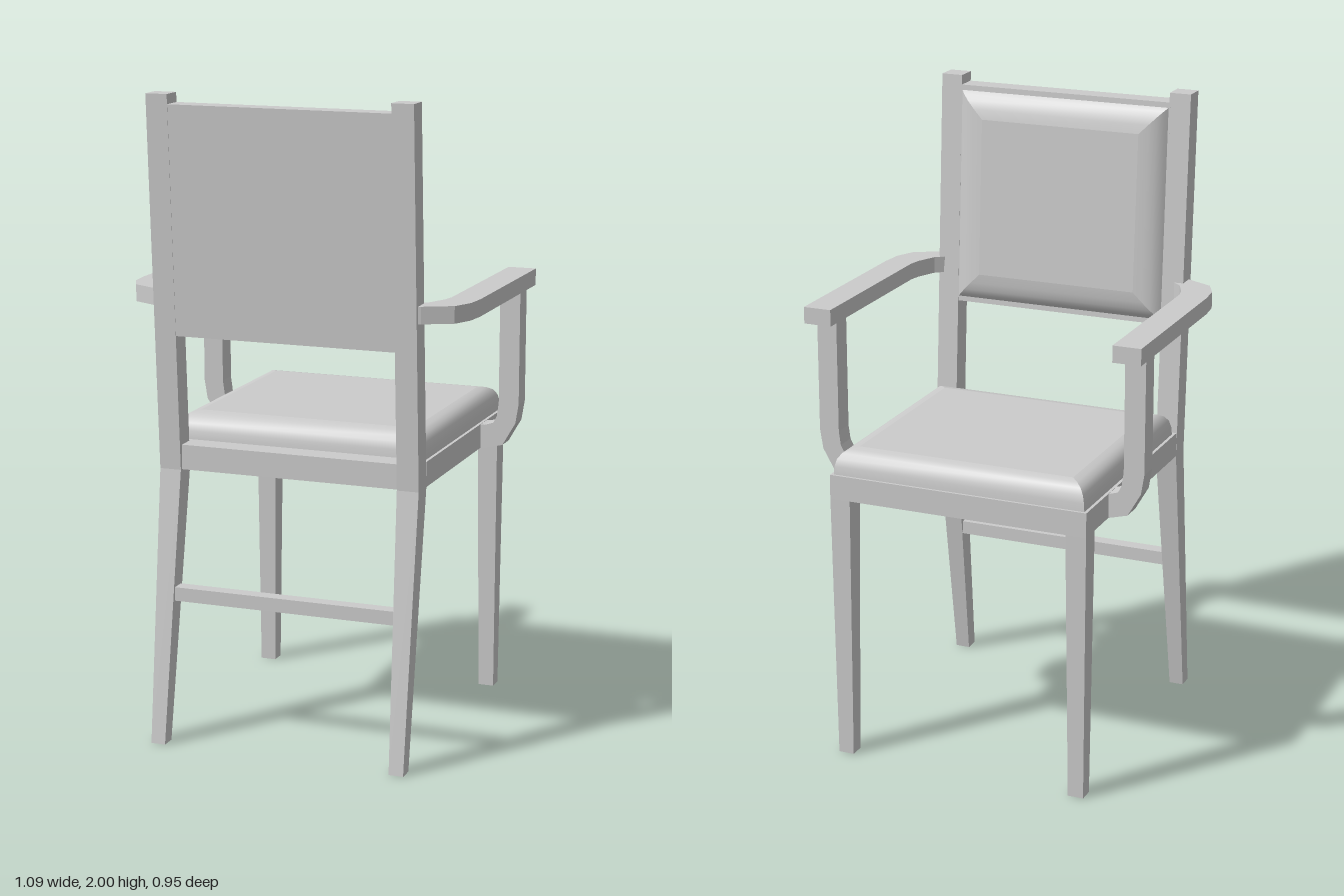
import * as THREE from 'three';

const grey = new THREE.MeshStandardMaterial({ color: 0xcccccc });
const flat = new THREE.MeshStandardMaterial({ color: 0xcccccc, flatShading: true });

function add(group, name, geometry, material = flat) {
  const mesh = new THREE.Mesh(geometry, material);
  mesh.name = name;
  group.add(mesh);
  return mesh;
}

// Box between two corners
function block(x0, x1, y0, y1, z0, z1) {
  return new THREE.BoxGeometry(x1 - x0, y1 - y0, z1 - z0)
    .translate((x0 + x1) / 2, (y0 + y1) / 2, (z0 + z1) / 2);
}

// Bar lofted upward through rectangles [y, x0, x1, z0, z1]; s = -1 mirrors it in x
function bar(sections, s = 1) {
  const pos = [], idx = [];
  for (const [y, a, b, z0, z1] of sections) {
    const x0 = Math.min(a * s, b * s), x1 = Math.max(a * s, b * s);
    pos.push(x0, y, z1, x1, y, z1, x1, y, z0, x0, y, z0);
  }
  for (let i = 0; i < sections.length - 1; i++) {
    for (let k = 0; k < 4; k++) {
      const a = i * 4 + k, b = i * 4 + (k + 1) % 4;
      idx.push(a, b, b + 4, a, b + 4, a + 4);
    }
  }
  const t = (sections.length - 1) * 4;
  idx.push(0, 2, 1, 0, 3, 2, t, t + 1, t + 2, t, t + 2, t + 3);
  const g = new THREE.BufferGeometry();
  g.setAttribute('position', new THREE.Float32BufferAttribute(pos, 3));
  g.setIndex(idx);
  const out = g.toNonIndexed();
  out.computeVertexNormals();
  return out;
}

// Upholstered pad: profile of [inset, height], mitred corners, closed top.
// rear stretches the insets along the +z edge.
function pad(halfW, z0, z1, profile, rear = 1) {
  const pos = [], idx = [];
  const ring = ([inset, h]) => [
    [-halfW + inset, h, z1 - inset * rear], [halfW - inset, h, z1 - inset * rear],
    [halfW - inset, h, z0 + inset], [-halfW + inset, h, z0 + inset],
  ];
  for (let k = 0; k < 4; k++) {
    const base = pos.length / 3;
    for (const p of profile) {
      const r = ring(p);
      pos.push(...r[k], ...r[(k + 1) % 4]);
    }
    for (let i = 0; i < profile.length - 1; i++) {
      const a = base + i * 2;
      idx.push(a, a + 1, a + 3, a, a + 3, a + 2);
    }
  }
  const c = pos.length / 3;
  pos.push(...ring(profile[profile.length - 1]).flat());
  idx.push(c, c + 1, c + 2, c, c + 2, c + 3);
  const g = new THREE.BufferGeometry();
  g.setAttribute('position', new THREE.Float32BufferAttribute(pos, 3));
  g.setIndex(idx);
  g.computeVertexNormals();
  return g;
}

// Flat outline mirrored by s and extruded
function slab(points, s, depth) {
  const shape = new THREE.Shape(points.map(([x, y]) => new THREE.Vector2(x * s, y)));
  return new THREE.ExtrudeGeometry(shape, { depth, bevelEnabled: false });
}

export function createModel() {
  const chair = new THREE.Group();
  chair.name = 'armchair';
  const frame = new THREE.Group();
  frame.name = 'frame';
  frame.position.x = -0.006;
  chair.add(frame);

  // Seat frame, rear rail and stretcher
  add(frame, 'seatFrame', block(-0.4175, 0.4175, 0.85, 0.927, -0.473, 0.3));
  add(frame, 'rearRail', block(-0.352, 0.352, 0.85, 0.927, 0.29, 0.36));
  add(frame, 'rearStretcher', block(-0.37, 0.37, 0.445, 0.488, 0.365, 0.41));

  // Seat cushion
  add(frame, 'seatCushion', pad(0.408, -0.465, 0.284, [
    [0, 0], [0.002, 0.025], [0.008, 0.048], [0.02, 0.065], [0.038, 0.075], [0.06, 0.079],
  ], 1.2), grey).position.y = 0.927;

  // Back panel and its padding, leaning with the posts
  add(frame, 'backPanel', bar([
    [1.27, -0.352, 0.352, 0.326, 0.393],
    [1.97, -0.352, 0.352, 0.366, 0.433],
  ]));
  const backPad = add(frame, 'backPadding', pad(0.348, -0.335, 0.335, [
    [0, 0], [0.012, 0.012], [0.03, 0.023], [0.055, 0.03], [0.085, 0.034],
  ]).rotateX(-Math.PI / 2), grey);
  backPad.position.set(0, 1.62, 0.347);
  backPad.rotation.x = Math.atan(0.058);

  for (const s of [1, -1]) {
    // Rear leg and back post in one bent piece
    add(frame, 'backPost', bar([
      [0, 0.366, 0.412, 0.43, 0.478],
      [0.85, 0.349, 0.4175, 0.3, 0.37],
      [2, 0.349, 0.4175, 0.368, 0.436],
    ], s));

    // Tapered front leg
    add(frame, 'frontLeg', bar([
      [0, 0.362, 0.412, -0.464, -0.416],
      [0.86, 0.352, 0.4175, -0.473, -0.404],
    ], s));

    // Armrest curving in to the post
    add(chair, 'armrest', slab([
      [0.544, -0.36], [0.544, 0.21], [0.537, 0.28], [0.508, 0.342], [0.42, 0.387],
      [0.39, 0.395], [0.39, 0.335], [0.42, 0.31], [0.447, 0.25], [0.455, 0.21], [0.455, -0.36],
    ], s, 0.052).rotateX(Math.PI / 2).translate(0, 1.41, 0));

    // Arm support sweeping under to the seat frame
    add(chair, 'armSupport', slab([
      [0.535, 1.365], [0.535, 1.0], [0.525, 0.938], [0.484, 0.866], [0.425, 0.85],
      [0.4, 0.85], [0.4, 0.926], [0.425, 0.926], [0.453, 0.935], [0.464, 0.957],
      [0.47, 1.0], [0.47, 1.365],
    ], s, 0.067).translate(0, 0, -0.293));
  }
  return chair;
}
